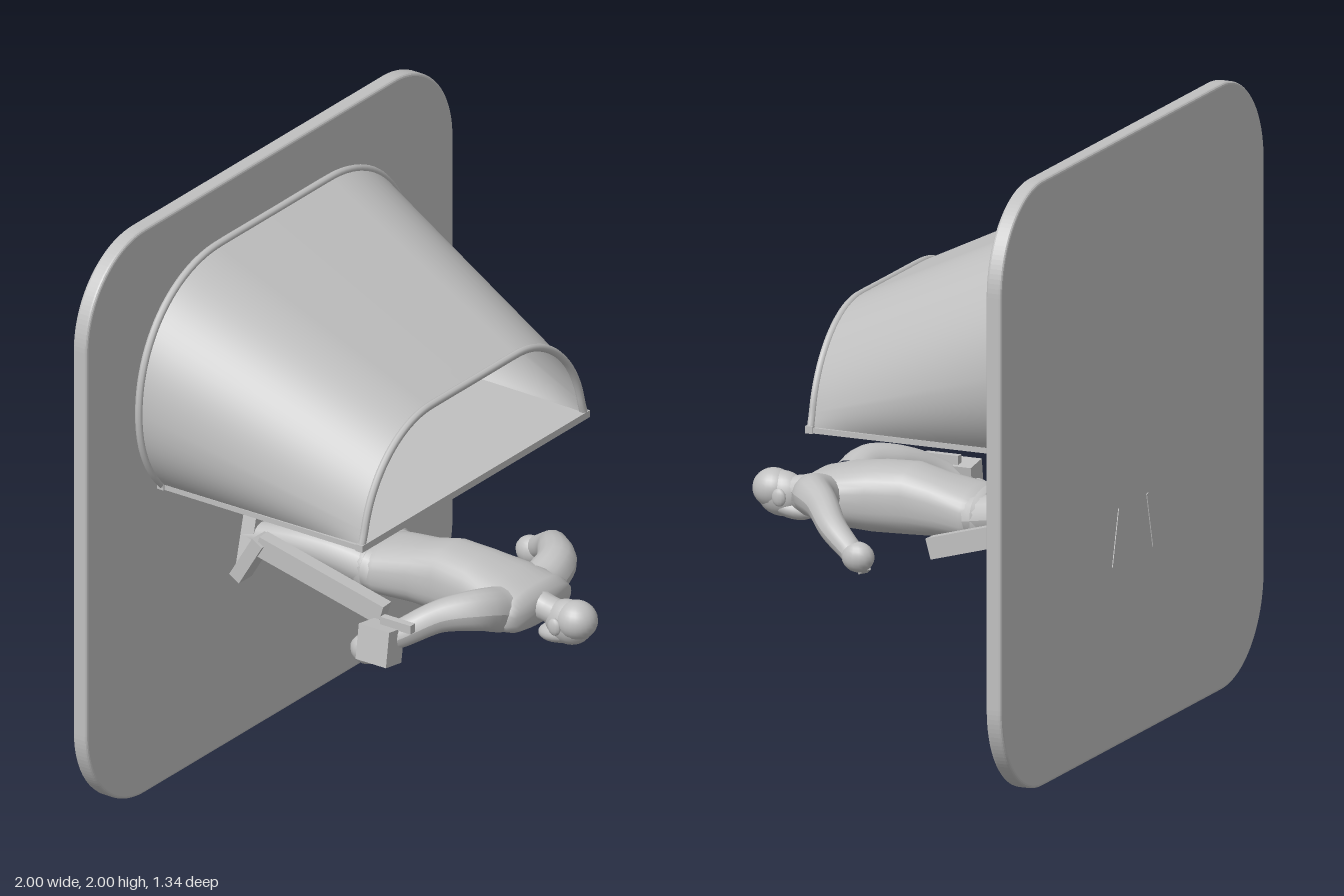
import * as THREE from 'three';

const grey = new THREE.MeshStandardMaterial({ color: 0xc0c0c0 });
grey.name = 'plain grey';
const greyShell = new THREE.MeshStandardMaterial({ color: 0xc0c0c0, side: THREE.DoubleSide });
greyShell.name = 'plain grey shell';

const V = (x, y, z) => new THREE.Vector3(x, y, z);

// Skin through rings of points with equal counts
function loft(rings, closed) {
  const n = rings[0].length, pos = [], idx = [];
  rings.forEach(r => r.forEach(p => pos.push(p.x, p.y, p.z)));
  for (let i = 0; i < rings.length - 1; i++) {
    for (let j = 0; j < (closed ? n : n - 1); j++) {
      const k = (j + 1) % n, a = i * n + j, b = i * n + k;
      idx.push(a, b, b + n, a, b + n, a + n);
    }
  }
  const g = new THREE.BufferGeometry();
  g.setAttribute('position', new THREE.Float32BufferAttribute(pos, 3));
  g.setIndex(idx);
  g.computeVertexNormals();
  return g;
}

// Rounded-square section at height y
function ring([z, y, rx, ry], power = 0.8, n = 32) {
  const f = v => Math.sign(v) * Math.abs(v) ** power;
  return Array.from({ length: n }, (_, i) => {
    const a = i / n * Math.PI * 2;
    return V(rx * f(Math.cos(a)), y + ry * f(Math.sin(a)), z);
  });
}

// Tube whose radius changes along its path
function limb(points, radii) {
  const path = new THREE.CatmullRomCurve3(points), n = 24, m = 16;
  const g = new THREE.TubeGeometry(path, n, 1, m);
  const p = g.attributes.position, v = V(0, 0, 0);
  for (let i = 0; i <= n; i++) {
    const c = path.getPointAt(i / n), t = i / n * (radii.length - 1);
    const k = Math.min(Math.floor(t), radii.length - 2);
    const r = THREE.MathUtils.lerp(radii[k], radii[k + 1], t - k);
    for (let j = 0; j <= m; j++) {
      const q = i * (m + 1) + j;
      v.fromBufferAttribute(p, q).sub(c).multiplyScalar(r).add(c);
      p.setXYZ(q, v.x, v.y, v.z);
    }
  }
  g.computeVertexNormals();
  return g;
}

// Hood outline from the left bottom corner over the top to the right one
function hoodOutline(f, z) {
  const back = [[.61, 1.07], [.70, 1.16], [.735, 1.26], [.735, 1.37], [.735, 1.62], [.55, 1.803], [.30, 1.803], [0, 1.803]];
  const front = [[.605, 1.07], [.60, 1.09], [.595, 1.10], [.59, 1.12], [.55, 1.30], [.40, 1.425], [.23, 1.425], [0, 1.425]];
  const c = back.map((b, i) => V(b[0] + (front[i][0] - b[0]) * f, b[1] + (front[i][1] - b[1]) * f, z));
  const half = [
    ...new THREE.CubicBezierCurve3(c[0], c[1], c[2], c[3]).getPoints(10),
    ...new THREE.CubicBezierCurve3(c[3], c[4], c[5], c[6]).getPoints(18).slice(1), c[7]
  ];
  return [...half, ...half.slice(0, -1).reverse().map(p => V(-p.x, p.y, p.z))];
}

export function createModel() {
  const group = new THREE.Group();
  const add = (name, geometry, x = 0, y = 0, z = 0, material = grey) => {
    const m = new THREE.Mesh(geometry, material);
    m.name = name;
    m.position.set(x, y, z);
    group.add(m);
    return m;
  };
  const plank = (name, a, b, w, h) => {
    const m = add(name, new THREE.BoxGeometry(w, h, a.distanceTo(b)), ...a.clone().lerp(b, 0.5));
    m.lookAt(b);
    return m;
  };

  // Wall plate with round corners and a softened edge
  const e = 0.99, r = 0.31, s = new THREE.Shape();
  s.moveTo(-e + r, -e);
  s.absarc(e - r, -e + r, r, -Math.PI / 2, 0);
  s.absarc(e - r, e - r, r, 0, Math.PI / 2);
  s.absarc(-e + r, e - r, r, Math.PI / 2, Math.PI);
  s.absarc(-e + r, -e + r, r, Math.PI, Math.PI * 1.5);
  add('wallPlate', new THREE.ExtrudeGeometry(s, {
    depth: 0.035, bevelSize: 0.01, bevelThickness: 0.01, bevelSegments: 3, curveSegments: 16
  }), 0, 1, -0.66);

  // Tapering hood, its floor and the rolled rims at both ends
  const z0 = -0.6, z1 = 0.185;
  const outlines = Array.from({ length: 13 }, (_, i) => hoodOutline(i / 12, z0 + (z1 - z0) * i / 12));
  add('hoodShell', loft(outlines, false), 0, 0, 0, greyShell);
  add('hoodFloor', new THREE.BoxGeometry(1.23, 0.018, z1 - z0 + 0.02), 0, 1.066, (z0 + z1) / 2);
  for (const [name, f, z] of [['backRim', 0, z0], ['frontRim', 1, z1]]) {
    const path = new THREE.CatmullRomCurve3(hoodOutline(f, z), false, 'centripetal');
    add(name, new THREE.TubeGeometry(path, 90, 0.013, 8), 0, 0, 0, greyShell);
    add(name + 'Sill', new THREE.BoxGeometry(1.24, 0.024, 0.026), 0, 1.068, z);
  }

  // Prone figure: torso, belt, neck
  const sections = [
    [-.21, .69, .001, .001], [-.21, .69, .125, .075], [-.12, .69, .14, .088], [0, .70, .117, .1],
    [.1, .71, .12, .115], [.22, .705, .13, .113], [.34, .70, .155, .098], [.43, .70, .165, .072],
    [.465, .70, .15, .05], [.467, .70, .001, .001]
  ];
  add('torso', loft(sections.map(q => ring(q)), true));
  add('belt', loft([[-.185, .69, .13, .08], [-.185, .69, .142, .09], [-.16, .69, .144, .092], [-.16, .69, .13, .08]]
    .map(q => ring(q)), true));
  add('neck', limb([V(0, .71, .43), V(0, .70, .48), V(0, .69, .54)], [.05, .045, .045]));

  // Head with cap, face and chin turned downwards
  add('head', new THREE.SphereGeometry(1, 24, 16), 0, .675, .565).scale.set(.06, .075, .085);
  add('cap', new THREE.SphereGeometry(1, 24, 16), 0, .69, .595).scale.set(.066, .065, .07);
  const chin = add('chin', new THREE.SphereGeometry(1, 20, 12), 0, .632, .53);
  chin.scale.set(.052, .035, .08);
  chin.rotation.x = -0.2;
  for (const m of [-1, 1]) {
    add('ear', new THREE.SphereGeometry(1, 12, 8), m * .06, .675, .55).scale.set(.013, .03, .025);
  }

  // Paired limbs, boots and side boards
  for (const m of [-1, 1]) {
    add('arm', limb([V(m * .12, .71, .37), V(m * .21, .74, .36), V(m * .31, .735, .28),
      V(m * .40, .69, .2), V(m * .455, .635, .11)], [.075, .066, .052, .046, .038]));
    add('hand', new THREE.SphereGeometry(1, 16, 12), m * .45, .62, .09).scale.set(.043, .05, .055);
    add('leg', limb([V(m * .07, .69, -.14), V(m * .09, .715, -.3), V(m * .11, .72, -.45),
      V(m * .12, .70, -.62)], [.072, .065, .052, .045]));
    const boot = add('boot', new THREE.BoxGeometry(.08, .2, .06), m * .13, .68, -.595);
    boot.rotation.z = m * 0.25;
    const sole = add('sole', new THREE.BoxGeometry(.012, .19, .06), m * .13, .69, -.643);
    sole.rotation.z = m * 0.25;
    plank('sideBoard', V(m * .17, .60, -.04), V(m * .21, .735, -.5), .05, .07);
    plank('sideBoardEnd', V(m * .21, .75, -.49), V(m * .21, .60, -.58), .07, .045);
  }

  // Block held in the right hand, thumb on the left hand
  const block = add('heldBlock', new THREE.BoxGeometry(.085, .12, .12), -.457, .66, .15);
  block.rotation.z = -0.15;
  add('heldBlockTop', new THREE.BoxGeometry(.025, .03, .12), -.43, .73, .2);
  plank('thumb', V(.43, .60, .09), V(.44, .57, .07), .035, .025);

  return group;
}
